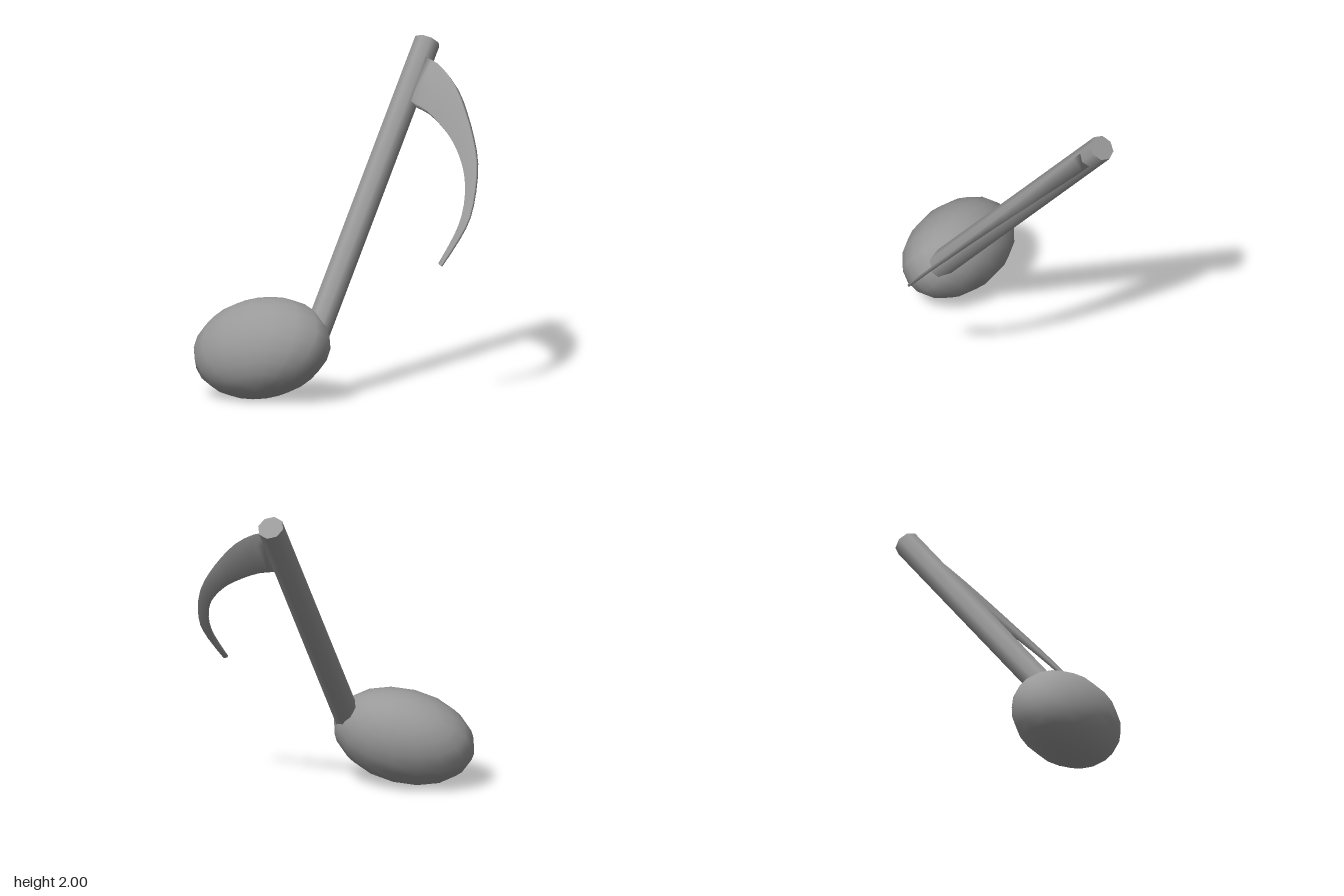
import * as THREE from 'three';
import { mergeVertices } from 'three/addons/utils/BufferGeometryUtils.js';

const grey = new THREE.MeshStandardMaterial({ color: 0x999999 });

function part(name, geometry) {
  const mesh = new THREE.Mesh(geometry, grey);
  mesh.name = name;
  return mesh;
}

// Edge rails of the flag as [x, y, half thickness], from the stem to the tip
const outerRail = [
  [0.06, 1.873, 0.047], [0.16, 1.835, 0.045], [0.30, 1.724, 0.038], [0.43, 1.562, 0.03],
  [0.54, 1.399, 0.022], [0.63, 1.234, 0.017], [0.69, 1.043, 0.013], [0.72, 0.863, 0.01],
  [0.705, 0.72, 0.01], [0.655, 0.52, 0.008],
];
const innerRail = [
  [0.06, 1.577, 0.035], [0.18, 1.533, 0.03], [0.32, 1.438, 0.025], [0.43, 1.343, 0.02],
  [0.51, 1.249, 0.016], [0.58, 1.142, 0.013], [0.635, 1.01, 0.01], [0.665, 0.865, 0.008],
  [0.665, 0.735, 0.008], [0.63, 0.532, 0.006],
];

// A segmented bar swept along the two rails, shaded smoothly around its edges
function flagGeometry() {
  const [outer, inner] = [outerRail, innerRail].map(
    (rail) => new THREE.CatmullRomCurve3(rail.map((p) => new THREE.Vector3(...p))));
  const bar = new THREE.BoxGeometry(1, 1, 1, 18, 1, 1);
  bar.deleteAttribute('normal');
  bar.deleteAttribute('uv');
  const geometry = mergeVertices(bar);
  const pos = geometry.attributes.position;
  for (let i = 0; i < pos.count; i++) {
    const t = THREE.MathUtils.clamp(pos.getX(i) + 0.5, 0, 1);
    const p = (pos.getY(i) > 0 ? outer : inner).getPoint(t);
    pos.setXYZ(i, p.x, p.y, Math.sign(pos.getZ(i)) * p.z);
  }
  geometry.computeVertexNormals();
  return geometry;
}

export function createModel() {
  const model = new THREE.Group();
  model.name = 'eighthNote';

  // The whole note leans back around the foot of its stem
  const note = new THREE.Group();
  note.name = 'leaningNote';
  note.position.set(0, 0.41, 0.466);
  note.rotation.x = -0.694;
  model.add(note);

  // Oval head, tilted up towards the stem
  const head = part('noteHead', new THREE.SphereGeometry(1, 16, 12));
  head.scale.set(0.43, 0.311, 0.268);
  head.position.set(-0.308, -0.161, 0.022);
  head.rotation.z = 0.25;
  note.add(head);

  // Eight-sided stem
  const stem = part('stem', new THREE.CylinderGeometry(0.079, 0.079, 2, 8));
  stem.position.y = 1;
  note.add(stem);

  // Curved, tapering flag
  note.add(part('flag', flagGeometry()));

  return model;
}
